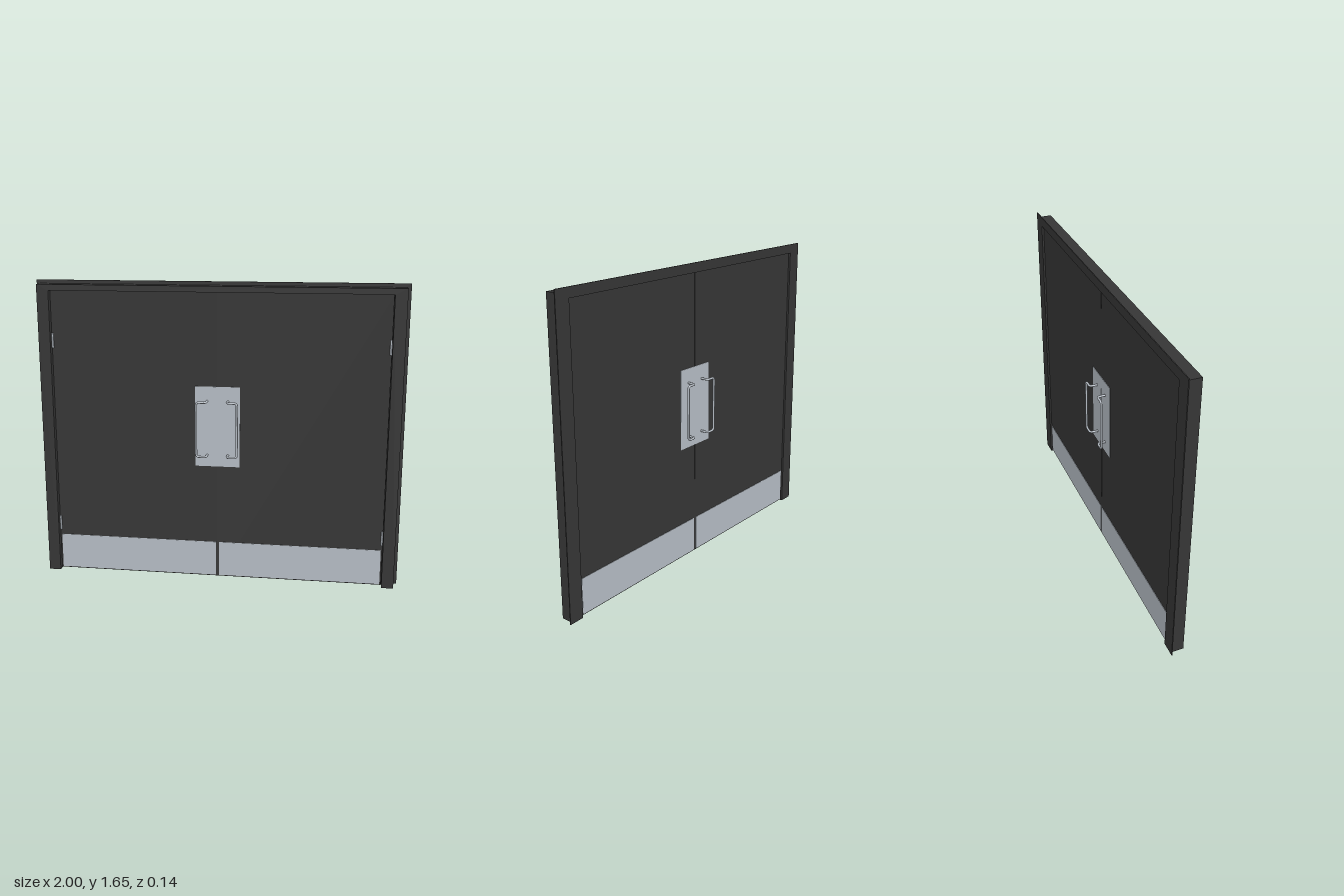
import * as THREE from 'three';

const HALF_DOOR = 0.02; // half the leaf thickness

function mat(name, color) {
  const m = new THREE.MeshStandardMaterial({ color });
  m.name = name;
  return m;
}

// Upside-down U, extruded from z0 to z1
function portal(halfWidth, height, z0, z1) {
  const inX = 0.915, inY = 1.603;
  const s = new THREE.Shape([
    [-halfWidth, 0], [-inX, 0], [-inX, inY], [inX, inY],
    [inX, 0], [halfWidth, 0], [halfWidth, height], [-halfWidth, height],
  ].map(([x, y]) => new THREE.Vector2(x, y)));
  const g = new THREE.ExtrudeGeometry(s, { depth: z1 - z0, bevelEnabled: false });
  g.translate(0, 0, z0);
  return g;
}

// Polyline with rounded corners
function roundedPath(points, r) {
  const path = new THREE.CurvePath();
  let from = points[0];
  for (let i = 1; i < points.length - 1; i++) {
    const p = points[i];
    const toward = (q) => p.clone().add(q.clone().sub(p).setLength(r));
    const a = toward(points[i - 1]), b = toward(points[i + 1]);
    path.add(new THREE.LineCurve3(from, a));
    path.add(new THREE.QuadraticBezierCurve3(a, p, b));
    from = b;
  }
  path.add(new THREE.LineCurve3(from, points[points.length - 1]));
  return path;
}

export function createModel() {
  const model = new THREE.Group();
  model.name = 'doubleDoor';
  const dark = mat('darkPaint', 0x363636);
  const steel = mat('brushedSteel', 0xb6bdc5);

  const add = (parent, name, geometry, material, x = 0, y = 0, z = 0) => {
    const mesh = new THREE.Mesh(geometry, material);
    mesh.name = name;
    mesh.position.set(x, y, z);
    parent.add(mesh);
    return mesh;
  };
  // Box given by its limits
  const box = (parent, name, material, x0, x1, y0, y1, z0, z1) =>
    add(parent, name, new THREE.BoxGeometry(Math.abs(x1 - x0), y1 - y0, Math.abs(z1 - z0)),
      material, (x0 + x1) / 2, (y0 + y1) / 2, (z0 + z1) / 2);

  // Frame and the thin flange behind it
  add(model, 'frame', portal(0.98, 1.635, -0.025, 0.046), dark);
  add(model, 'backFlange', portal(1, 1.655, -0.03, -0.025), dark);

  for (const side of [-1, 1]) {
    const leaf = new THREE.Group();
    leaf.name = side > 0 ? 'leftLeaf' : 'rightLeaf';
    model.add(leaf);
    box(leaf, 'doorPanel', dark, side * 0.001, side * 0.913, 0.007, 1.601, -HALF_DOOR, HALF_DOOR);

    // Plates and pull handle on both faces
    for (const face of [-1, 1]) {
      const z0 = face * HALF_DOOR, z1 = face * (HALF_DOOR + 0.002);
      box(leaf, 'kickPlate', steel, side * 0.009, side * 0.905, 0.012, 0.21, z0, z1);
      box(leaf, 'pushPlate', steel, side * 0.001, side * 0.122, 0.652, 1.098, z0, z1);

      const v = (x, y, z) => new THREE.Vector3(side * x, y, face * z);
      const low = 0.716, high = 1.018, out = 0.066;
      const path = roundedPath([
        v(0.057, low, HALF_DOOR), v(0.057, low, out), v(0.111, low, out),
        v(0.111, high, out), v(0.057, high, out), v(0.057, high, HALF_DOOR),
      ], 0.016);
      add(leaf, 'pullHandle', new THREE.TubeGeometry(path, 110, 0.0062, 12), steel);
    }

    // Hinge knuckles on the front
    for (const y of [0.28, 1.33]) {
      add(leaf, 'hinge', new THREE.CylinderGeometry(0.0055, 0.0055, 0.08, 12), steel,
        side * 0.908, y, HALF_DOOR + 0.004);
    }
  }
  return model;
}
